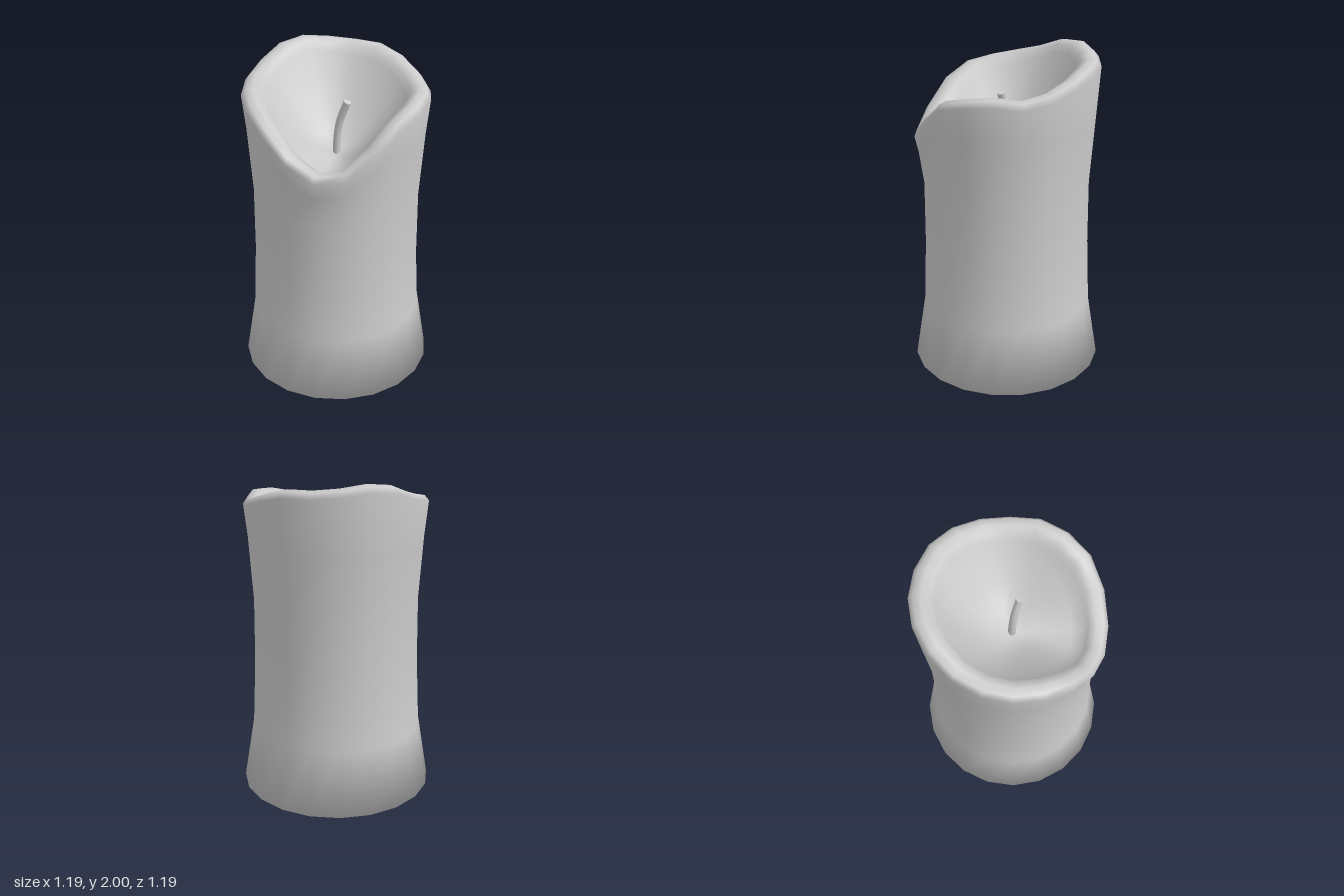
import * as THREE from 'three';

const SIDES = 20;
const FLOOR = 1.42; // lowest point of the melted hollow

// Height of the rim crest every 18 degrees, from +x round through the front (+z)
const CREST = [
  1.84, 1.80, 1.67, 1.54, 1.52, 1.61, 1.74, 1.82, 1.85, 1.88,
  1.92, 1.98, 2.00, 1.98, 1.965, 1.96, 1.92, 1.87, 1.84, 1.86,
];

// Cross-section [radius, height] from the foot, over the lip and into the hollow
function section(crest) {
  const lip = crest - 0.04;
  const edge = crest - 0.07;
  const hollow = (r) => [r, FLOOR + (edge - FLOOR) * Math.pow(r / 0.41, 1.7)];
  return [
    [0.595, 0],
    [0.53, 0.4],
    [0.512, 0.8],
    [0.508, 1.2],
    [0.535, Math.min(1.6, lip - 0.1)],
    [0.557, lip],
    [0.53, crest - 0.008],
    [0.485, crest],
    [0.44, crest - 0.02],
    [0.417, edge],
    hollow(0.35),
    hollow(0.26),
    hollow(0.14),
  ];
}

// Closed wax skin: rings joined in loops, with a pole at the base and in the hollow
function waxGeometry() {
  const columns = CREST.map(section);
  const rings = columns[0].length;
  const positions = [];
  for (let i = 0; i < rings; i++) {
    for (let j = 0; j < SIDES; j++) {
      const a = (j / SIDES) * Math.PI * 2;
      const [r, y] = columns[j][i];
      positions.push(r * Math.cos(a), y, r * Math.sin(a));
    }
  }
  const base = rings * SIDES;
  const floor = base + 1;
  positions.push(0, 0, 0, 0, FLOOR, 0);

  const index = [];
  for (let j = 0; j < SIDES; j++) {
    const k = (j + 1) % SIDES;
    index.push(base, j, k);
    for (let i = 0; i < rings - 1; i++) {
      const lo = i * SIDES;
      const hi = lo + SIDES;
      index.push(lo + j, hi + j, lo + k, lo + k, hi + j, hi + k);
    }
    const last = (rings - 1) * SIDES;
    index.push(last + j, floor, last + k);
  }
  const geometry = new THREE.BufferGeometry();
  geometry.setAttribute('position', new THREE.Float32BufferAttribute(positions, 3));
  geometry.setIndex(index);
  geometry.computeVertexNormals();
  return geometry;
}

export function createModel() {
  const group = new THREE.Group();
  group.name = 'candle';
  const material = new THREE.MeshStandardMaterial({ color: 0xcccccc });

  const wax = new THREE.Mesh(waxGeometry(), material);
  wax.name = 'wax';
  group.add(wax);

  // Bent wick with a flat tip
  const path = new THREE.CatmullRomCurve3([
    new THREE.Vector3(0, 1.4, 0),
    new THREE.Vector3(0.005, 1.52, 0),
    new THREE.Vector3(0.025, 1.64, 0),
    new THREE.Vector3(0.075, 1.765, 0),
  ]);
  const wick = new THREE.Group();
  wick.name = 'wick';
  const stem = new THREE.Mesh(new THREE.TubeGeometry(path, 8, 0.023, 10), material);
  stem.name = 'wickStem';
  const tip = new THREE.Mesh(new THREE.CircleGeometry(0.023, 10), material);
  tip.name = 'wickTip';
  tip.position.copy(path.getPoint(1));
  tip.lookAt(path.getPoint(1).add(path.getTangent(1)));
  wick.add(stem, tip);
  group.add(wick);

  return group;
}
